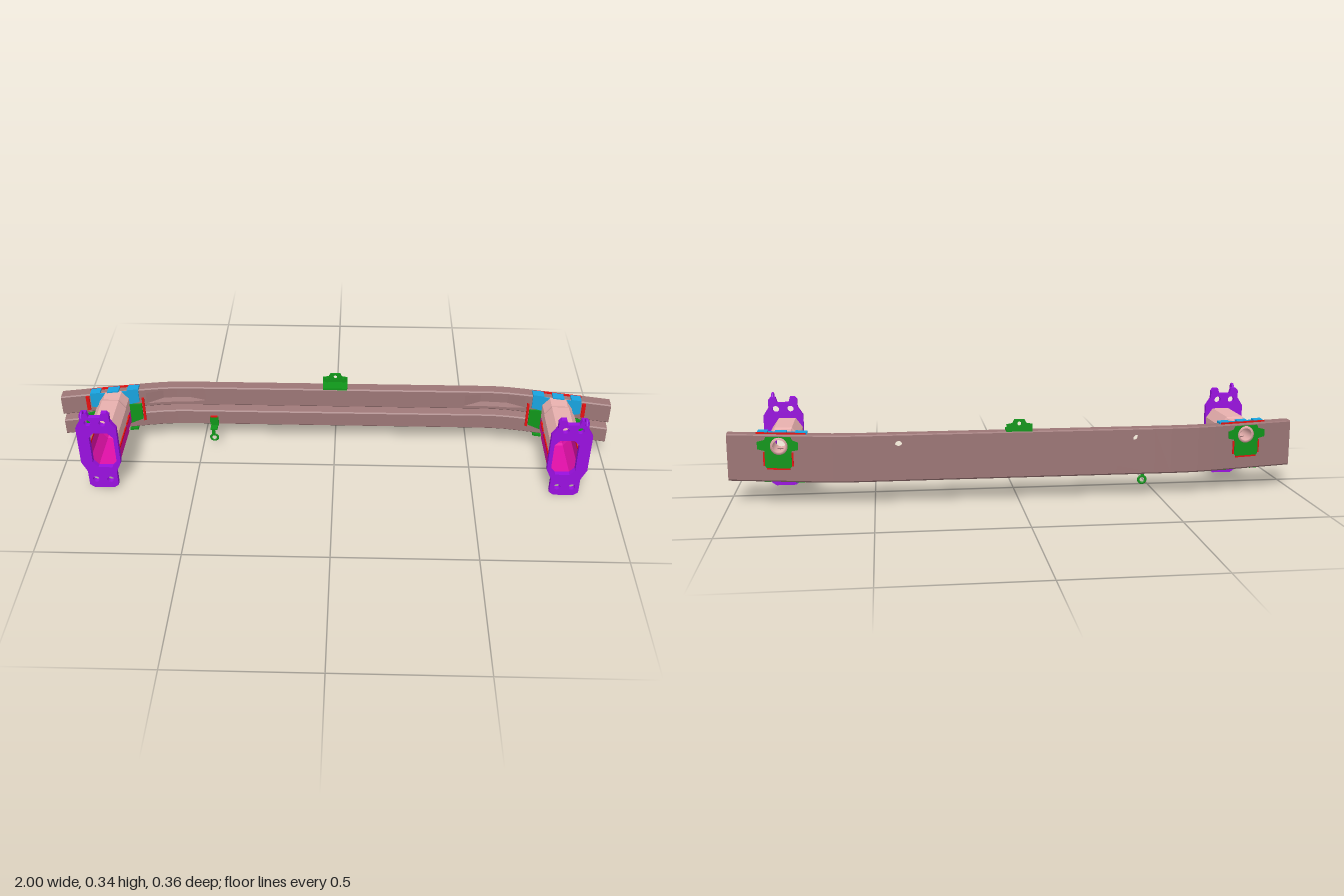
import * as THREE from 'three';

const mat = (color) => new THREE.MeshStandardMaterial({ color, side: THREE.DoubleSide });
const BROWN = mat(0x9c7676), PINK = mat(0xe8b0ae), MAGENTA = mat(0xe010a8), PURPLE = mat(0x9a10e0);
const GREEN = mat(0x10961a), CYAN = mat(0x18a4e0), RED = mat(0xe81010);

// Bow of the beam: z of its back wall, and depth of the recess in its upper lobe
const KNOTS = [0, 0.48, 0.54, 0.59, 0.64, 0.70, 1];
const BOW = [-0.178, -0.178, -0.178, -0.177, -0.1725, -0.163, -0.103];
const DENT = [0, 0, 0.018, 0.018, 0.018, 0, 0];
function along(table, x) {
  const a = Math.min(Math.abs(x), 1);
  let i = 0;
  while (i < KNOTS.length - 2 && a > KNOTS[i + 1]) i++;
  return THREE.MathUtils.lerp(table[i], table[i + 1], (a - KNOTS[i]) / (KNOTS[i + 1] - KNOTS[i]));
}
const bow = (x) => along(BOW, x);
const dent = (x) => along(DENT, x);

function add(group, name, geo, material) {
  const mesh = new THREE.Mesh(geo, material);
  mesh.name = name;
  group.add(mesh);
  return mesh;
}

// Move every vertex by a rule, then shade flat
function warp(geo, rule) {
  const g = geo.index ? geo.toNonIndexed() : geo;
  const p = g.attributes.position, v = new THREE.Vector3();
  for (let i = 0; i < p.count; i++) {
    rule(v.fromBufferAttribute(p, i));
    p.setXYZ(i, v.x, v.y, v.z);
  }
  g.computeVertexNormals();
  return g;
}
const bend = (geo) => warp(geo, (v) => { v.z += bow(v.x); });

// Skin over a row of open cross-sections
function loft(rows) {
  const pos = rows.flat(2), n = rows[0].length, index = [];
  for (let i = 0; i < rows.length - 1; i++) {
    for (let j = 0; j < n - 1; j++) {
      const a = i * n + j, b = a + n;
      index.push(a, b, a + 1, a + 1, b, b + 1);
    }
  }
  const g = new THREE.BufferGeometry();
  g.setAttribute('position', new THREE.Float32BufferAttribute(pos, 3));
  g.setIndex(index);
  return warp(g, () => {});
}

function outline(points, holes = []) {
  const shape = new THREE.Shape(points.map(([x, y]) => new THREE.Vector2(x, y)));
  for (const [x, y, r] of holes) shape.holes.push(new THREE.Path().absarc(x, y, r, 0, Math.PI * 2, true));
  return shape;
}
const rect = (x0, x1, y0, y1) => [[x0, y0], [x1, y0], [x1, y1], [x0, y1]];
const extrude = (shape, depth) => new THREE.ExtrudeGeometry(shape, { depth, bevelEnabled: false, curveSegments: 10 });

function makeBeam() {
  const beam = new THREE.Group();
  beam.name = 'beam';
  const stations = [...KNOTS.slice(1).map((x) => -x).reverse(), ...KNOTS.slice(1)];
  // Sections as [y, distance from back wall, follows recess]
  const top = [[0.246, 0], [0.25, 0.004], [0.25, 0.041], [0.246, 0.045], [0.24, 0.045], [0.232, 0.045, 1]];
  const bottom = [[0.195, 0.045, 1], [0.187, 0.045], [0.177, 0.045], [0.173, 0.041], [0.17, 0.01], [0.153, 0.01],
    [0.147, 0.041], [0.143, 0.045], [0.089, 0.045], [0.085, 0.041], [0.085, 0.004], [0.09, 0]];
  for (const [name, section] of [['beamTop', top], ['beamGrooveAndBottom', bottom]]) {
    add(beam, name, loft(stations.map((x) =>
      section.map(([y, d, r]) => [x, y, bow(x) + d - (r ? dent(x) : 0)]))), BROWN);
  }
  // Pierced walls, one panel between each two stations
  const tow = [[0.82, 0.212, 0.03]];
  const both = (list) => list.flatMap(([x, y, r]) => [[x, y, r], [-x, y, r]]);
  const backHoles = both([[0.415, 0.215, 0.012], [0.135, 0.22, 0.017], [0.335, 0.115, 0.011], [0.15, 0.115, 0.011],
    [0.67, 0.12, 0.01], ...tow]);
  const frontHoles = both([[0.415, 0.214, 0.014]]);
  for (let i = 0; i < stations.length - 1; i++) {
    const [a, b] = [stations[i], stations[i + 1]];
    const inside = ([x]) => x > a && x < b;
    const back = new THREE.ShapeGeometry(outline(rect(a, b, 0.09, 0.246), backHoles.filter(inside)));
    add(beam, 'backWall', bend(back), BROWN);
    // leave the front open where the tow sleeve passes
    const open = a >= 0.7 || b <= -0.7;
    const spans = open ? [[a, a < 0 ? -0.86 : 0.78], [a < 0 ? -0.78 : 0.86, b]] : [[a, b]];
    for (const [p, q] of spans) {
      const front = new THREE.ShapeGeometry(outline(rect(p, q, 0.195, 0.232), frontHoles.filter(inside)));
      add(beam, 'frontWall', warp(front, (v) => { v.z += bow(v.x) + 0.045 - dent(v.x); }), BROWN);
    }
  }
  return beam;
}

// Crash box, flange and brackets of one side (s = 1 left, -1 right)
function makeMount(s) {
  const g = new THREE.Group();
  g.name = s > 0 ? 'leftMount' : 'rightMount';
  const flip = (pts) => pts.map(([x, y, r]) => [s * x, y, r]);
  const plate = (name, material, pts, d, thick, holes = []) =>
    add(g, name, bend(extrude(outline(flip(pts), flip(holes)), thick).translate(0, 0, d)), material);
  const box = (name, material, w, h, d, x, y, z) =>
    add(g, name, new THREE.BoxGeometry(w, h, d).translate(s * x, y, z), material);

  // Crash box: two half shells, necked near the beam
  const cx = 0.813, mid = 0.169;
  const half = [[-0.054, 0], [-0.054, 0.052], [-0.03, 0.086], [0.03, 0.086], [0.054, 0.052], [0.054, 0]];
  for (const [name, up, material] of [['upperShell', 1, PINK], ['lowerShell', -1, MAGENTA]]) {
    const rings = [[0.14, 1], [-0.036, 1], [-0.046, 0.95], [-0.055, 0.95], [null, 0.97]];
    add(g, name, loft(rings.map(([z, k]) => half.map(([x, y]) => {
      const px = s * (cx + x * k);
      return [px, mid + up * y * k, z ?? bow(px) + 0.046];
    }))), material);
  }
  for (const side of [-1, 1]) {
    box('seamWeld', RED, 0.006, 0.008, 0.12, cx + side * 0.055, 0.17, 0.073);
    box('seamWeld', RED, 0.006, 0.008, 0.055, cx + side * 0.055, 0.17, -0.033);
  }

  // Mounting flange
  const fx = 0.827;
  const edge = [[0.035, 0.003], [0.052, 0.015], [0.052, 0.075], [0.071, 0.115], [0.071, 0.265], [0.052, 0.295],
    [0.052, 0.322], [0.044, 0.332], [0.026, 0.332], [0.02, 0.312]];
  const ring = [...edge, ...edge.map(([x, y]) => [-x, y]).reverse()].map(([x, y]) => [s * (fx + x), y]);
  const bolts = [[0.026, 0.04], [-0.026, 0.04], [0.026, 0.288], [-0.026, 0.288]]
    .map(([x, y]) => [s * (fx + x), y, 0.012]);
  const flange = outline(ring, bolts);
  const mouth = [[0.025, 0.095], [0.043, 0.115], [0.043, 0.225], [0.025, 0.245]];
  flange.holes.push(new THREE.Path([...mouth, ...mouth.map(([x, y]) => [-x, y]).reverse()]
    .map(([x, y]) => new THREE.Vector2(s * (cx + x), y))));
  add(g, 'flange', extrude(flange, 0.018).translate(0, 0, 0.134), PURPLE);
  const hook = new THREE.CatmullRomCurve3([[0.31, 0.143], [0.328, 0.147], [0.341, 0.158], [0.341, 0.169], [0.328, 0.177]]
    .map(([y, z]) => new THREE.Vector3(s * 0.864, y, z)));
  add(g, 'flangeHook', new THREE.TubeGeometry(hook, 16, 0.005, 8), PURPLE);

  // Tow sleeve through the beam
  const wall = [[0.022, 0], [0.03, 0], [0.03, 0.1], [0.022, 0.1], [0.022, 0]].map(([r, y]) => new THREE.Vector2(r, y));
  add(g, 'towSleeve', new THREE.LatheGeometry(wall, 24).rotateX(Math.PI / 2).translate(s * 0.82, 0.212, -0.147), PINK);

  // Front bracket with lips folded over the beam
  const hole = [[0.82, 0.212, 0.03]];
  plate('frontBracket', CYAN, [[0.775, 0.1], [0.865, 0.1], [0.865, 0.19], [0.895, 0.2], [0.895, 0.252],
    [0.725, 0.252], [0.725, 0.2], [0.775, 0.19]], 0.046, 0.005, hole);
  for (const [a, b] of [[0.725, 0.765], [0.795, 0.835], [0.86, 0.895]]) {
    plate('bracketLip', CYAN, rect(a, b, 0.25, 0.257), 0.018, 0.033);
  }
  plate('lipWeld', RED, rect(0.73, 0.9, 0.249, 0.255), 0.012, 0.007);
  plate('bracketWeld', RED, rect(0.9, 0.912, 0.185, 0.245), 0.045, 0.006);
  plate('bracketWeld', RED, rect(0.708, 0.716, 0.115, 0.215), 0.045, 0.006);

  // Green side tabs, with feet below the beam
  plate('innerTab', GREEN, [[0.718, 0.125], [0.765, 0.11], [0.765, 0.195], [0.718, 0.19]], 0.046, 0.008);
  plate('outerTab', GREEN, [[0.865, 0.115], [0.922, 0.13], [0.922, 0.17], [0.865, 0.18]], 0.046, 0.008);
  for (const x of [0.755, 0.87]) plate('tabFoot', GREEN, rect(x - 0.015, x + 0.015, 0.077, 0.085), 0.03, 0.022);

  // Back plate with ears around the tow opening
  plate('backPlate', GREEN, [[0.785, 0.135], [0.865, 0.135], [0.87, 0.142], [0.87, 0.195], [0.895, 0.2], [0.895, 0.225],
    [0.87, 0.232], [0.865, 0.243], [0.78, 0.243], [0.775, 0.232], [0.755, 0.225], [0.755, 0.2], [0.778, 0.195],
    [0.778, 0.142]], -0.006, 0.006, hole);
  plate('plateWeld', RED, rect(0.785, 0.865, 0.129, 0.135), -0.004, 0.005);
  for (const x of [0.772, 0.87]) plate('plateWeld', RED, rect(x, x + 0.006, 0.142, 0.19), -0.004, 0.005);
  return g;
}

function makeCenterBracket() {
  const g = new THREE.Group();
  g.name = 'centerBracket';
  add(g, 'base', new THREE.BoxGeometry(0.09, 0.007, 0.045).translate(0, 0.2535, -0.153), GREEN);
  const up = [[-0.045, 0.25], [0.045, 0.25], [0.045, 0.276], [0.024, 0.28], [0.018, 0.293], [-0.018, 0.293],
    [-0.024, 0.28], [-0.045, 0.276]];
  add(g, 'upright', extrude(outline(up, [[0, 0.278, 0.007]]), 0.005).translate(0, 0, -0.18), GREEN);
  for (const x of [-0.03, 0.03]) {
    add(g, 'nut', new THREE.CylinderGeometry(0.009, 0.009, 0.01, 6).rotateX(Math.PI / 2).translate(x, 0.268, -0.171), GREEN);
  }
  return g;
}

function makeHanger() {
  const g = new THREE.Group();
  g.name = 'hanger';
  const x = -0.455;
  add(g, 'foot', new THREE.BoxGeometry(0.026, 0.005, 0.03).translate(x, 0.082, -0.118), GREEN);
  add(g, 'faceTab', new THREE.BoxGeometry(0.032, 0.035, 0.005).translate(x, 0.103, -0.13), GREEN);
  add(g, 'tabWeld', new THREE.BoxGeometry(0.026, 0.006, 0.006).translate(x, 0.122, -0.13), RED);
  add(g, 'stem', new THREE.BoxGeometry(0.012, 0.03, 0.004).translate(x - 0.002, 0.07, -0.103), GREEN);
  add(g, 'eye', new THREE.TorusGeometry(0.013, 0.0045, 8, 20).scale(1, 1, 0.5).translate(x, 0.046, -0.103), GREEN);
  return g;
}

export function createModel() {
  const model = new THREE.Group();
  model.name = 'bumperBeam';
  model.add(makeBeam(), makeMount(1), makeMount(-1), makeCenterBracket(), makeHanger());
  return model;
}
